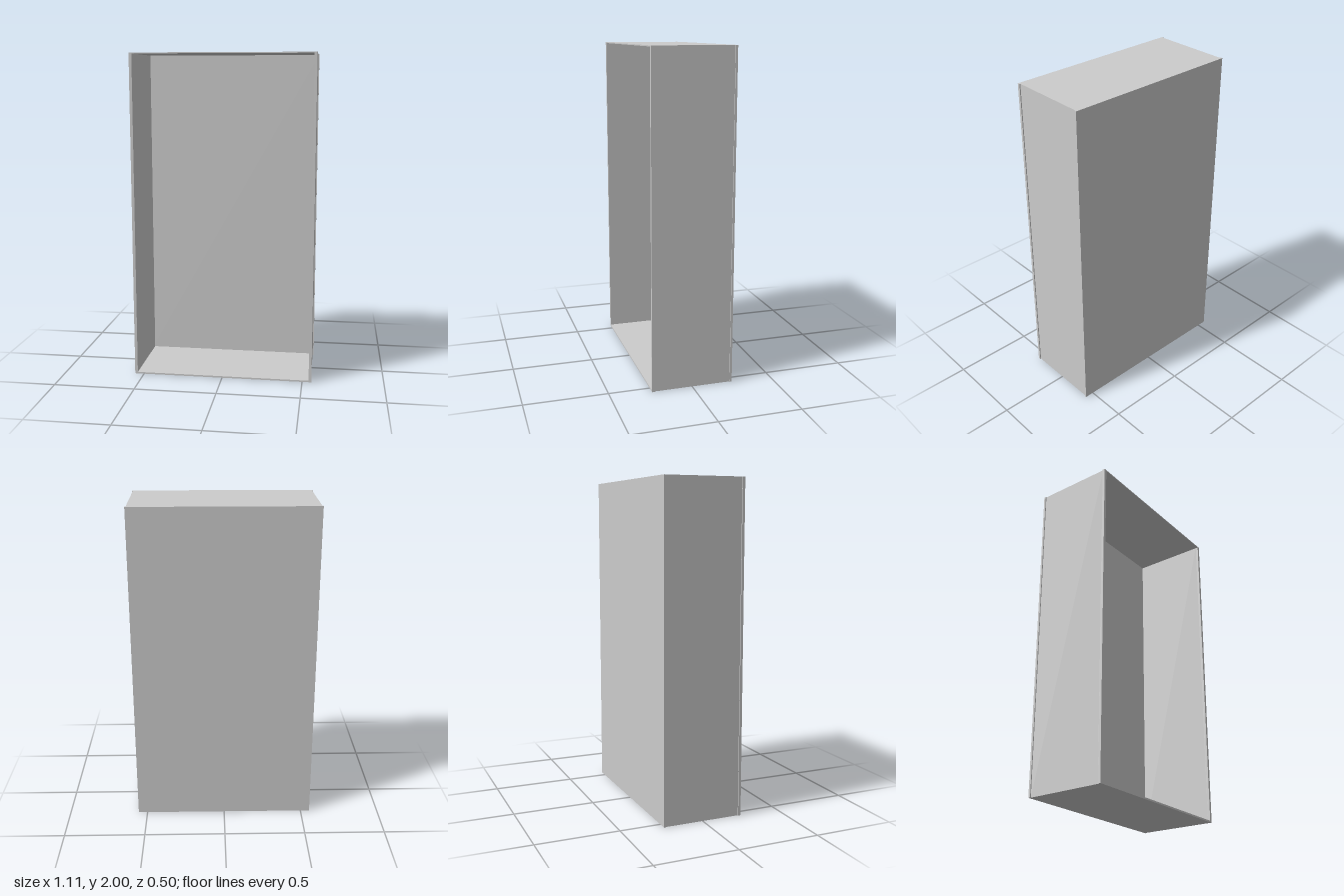
import * as THREE from 'three';

export function createModel() {
  const group = new THREE.Group();
  group.name = 'openCabinet';
  const material = new THREE.MeshStandardMaterial({ color: 0xcccccc });

  // Box given by its minimum and maximum corners
  function panel(name, [x0, y0, z0], [x1, y1, z1]) {
    const mesh = new THREE.Mesh(new THREE.BoxGeometry(x1 - x0, y1 - y0, z1 - z0), material);
    mesh.position.set((x0 + x1) / 2, (y0 + y1) / 2, (z0 + z1) / 2);
    mesh.name = name;
    group.add(mesh);
  }

  const outer = 0.557, wall = 0.551, inner = 0.54;
  const back = -0.25, backInner = -0.237, lip = 0.234, front = 0.25;
  const floorTop = 0.01, ceiling = 1.994, height = 2;

  // Back sheet, slightly wider than the carcass
  panel('backPanel', [-outer, 0, back], [outer, height, backInner]);

  // Floor and top between the side walls
  panel('bottomPanel', [-inner, 0, backInner], [inner, floorTop, front]);
  panel('topPanel', [-inner, ceiling, backInner], [inner, height, front]);

  // Side walls with a projecting strip along the front edge
  for (const [side, s] of [['left', 1], ['right', -1]]) {
    const span = (a, b) => [Math.min(s * a, s * b), Math.max(s * a, s * b)];
    const [w0, w1] = span(inner, wall);
    panel(side + 'Wall', [w0, 0, backInner], [w1, height, lip]);
    const [f0, f1] = span(inner, outer);
    panel(side + 'FrontStrip', [f0, 0, lip], [f1, height, front]);
  }

  return group;
}
